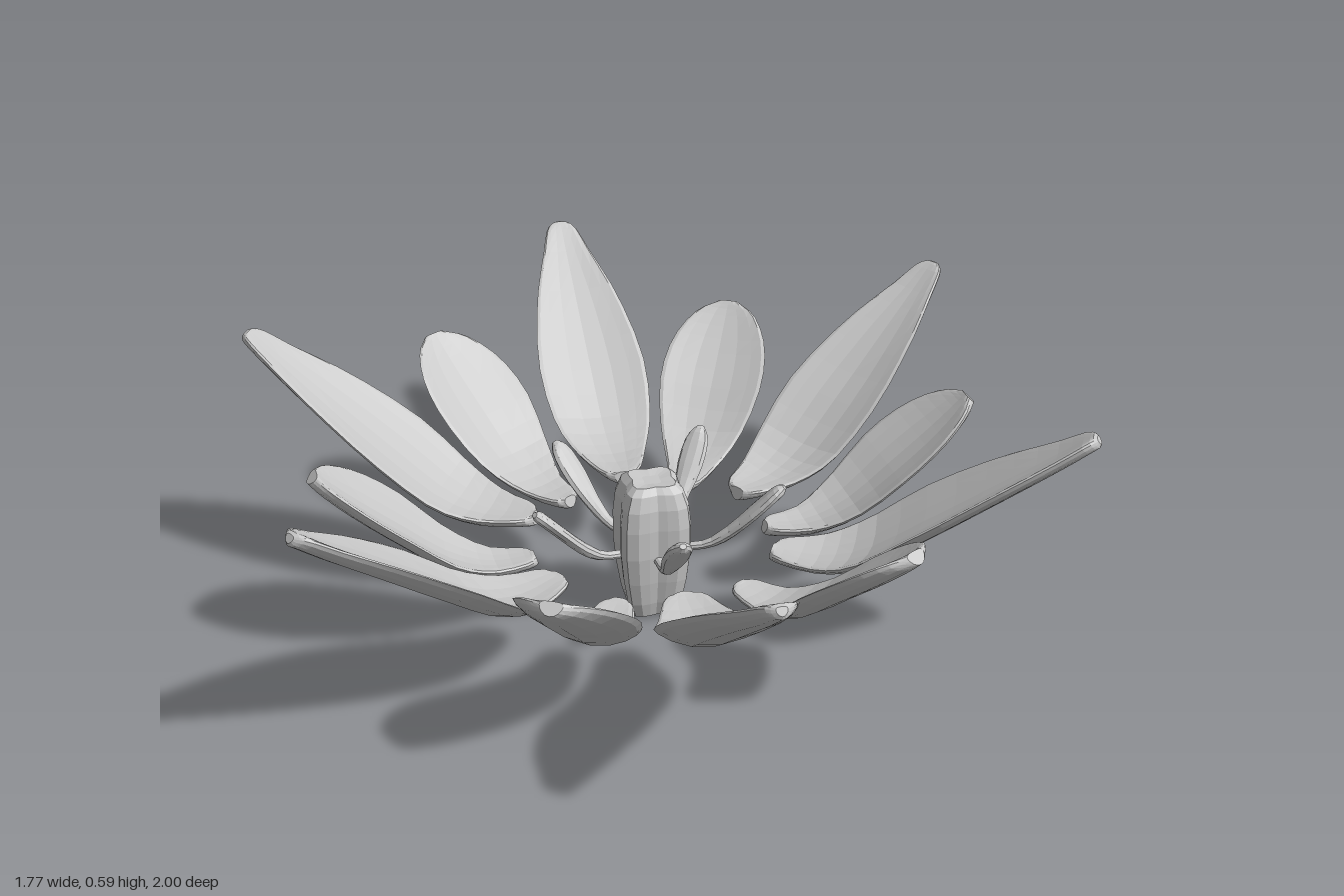
import * as THREE from 'three';

// Closed skin over a list of rings, capped at both ends
function loft(rings) {
  const m = rings[0].length, n = rings.length, pos = [], idx = [];
  rings.forEach(r => r.forEach(p => pos.push(p.x, p.y, p.z)));
  for (const r of [rings[0], rings[n - 1]]) {
    const c = r.reduce((s, p) => s.add(p), new THREE.Vector3()).divideScalar(m);
    pos.push(c.x, c.y, c.z);
  }
  for (let j = 0; j < m; j++) {
    const k = (j + 1) % m;
    for (let i = 0; i < n - 1; i++) {
      const a = i * m + j, b = i * m + k;
      idx.push(a, b, b + m, a, b + m, a + m);
    }
    idx.push(n * m, k, j, n * m + 1, (n - 1) * m + j, (n - 1) * m + k);
  }
  const g = new THREE.BufferGeometry();
  g.setAttribute('position', new THREE.Float32BufferAttribute(pos, 3));
  g.setIndex(idx);
  g.computeVertexNormals();
  return g;
}

// Leaf-shaped body along +z; stations are [radius, height, half width]
function blade(stations, steps, sides, thick, cup) {
  const curve = new THREE.CatmullRomCurve3(
    stations.map(([r, y, w]) => new THREE.Vector3(w, y, r)), false, 'centripetal');
  const rings = [];
  for (let i = 0; i <= steps; i++) {
    const p = curve.getPoint(i / steps), d = curve.getTangent(i / steps);
    const len = Math.hypot(d.y, d.z) || 1;
    const ny = d.z / len, nz = -d.y / len, t = Math.min(thick, p.x * 0.8);
    rings.push(Array.from({ length: sides }, (_, j) => {
      const a = j / sides * Math.PI * 2, u = Math.cos(a);
      const h = t * Math.sin(a) + cup * p.x * u * u;
      return new THREE.Vector3(p.x * u, p.y + ny * h, p.z + nz * h);
    }));
  }
  return loft(rings);
}

// Square pistil with softened corners and a shallow groove down each side
function pistilGeometry() {
  const profile = [[0.005, 0.04], [0.012, 0.055], [0.05, 0.066], [0.11, 0.076], [0.18, 0.083],
    [0.25, 0.083], [0.3, 0.078], [0.335, 0.066], [0.35, 0.05], [0.345, 0.02]];
  return loft(profile.map(([y, s]) => Array.from({ length: 24 }, (_, j) => {
    const a = j / 24 * Math.PI * 2, c = Math.cos(a), d = Math.sin(a);
    const r = s / Math.pow(c ** 6 + d ** 6, 1 / 6) * (1 - 0.1 * Math.cos(2 * a) ** 6);
    return new THREE.Vector3(c * r, y, -d * r);
  })));
}

export function createModel() {
  const group = new THREE.Group();
  const grey = new THREE.MeshStandardMaterial({ color: 0xc8c8c8, flatShading: true });
  grey.name = 'pale grey';

  // Repeats one part evenly around the vertical axis
  const ring = (name, geometry, count, start) => {
    for (let i = 0; i < count; i++) {
      const mesh = new THREE.Mesh(geometry, grey);
      mesh.name = name + (i + 1);
      mesh.rotation.y = start + i / count * Math.PI * 2;
      group.add(mesh);
    }
  };

  // Long pointed petals
  const longPetal = blade([[0.285, 0.2, 0.02], [0.3, 0.197, 0.045], [0.4, 0.193, 0.085],
    [0.5, 0.222, 0.118], [0.64, 0.32, 0.135], [0.8, 0.44, 0.105], [0.92, 0.53, 0.06],
    [0.98, 0.578, 0.034], [0.995, 0.588, 0.012]], 20, 16, 0.016, 0.3);
  ring('longPetal', longPetal, 6, 0.03);

  // Short rounded petals set between the long ones
  const shortPetal = blade([[0.275, 0.18, 0.018], [0.29, 0.175, 0.036], [0.38, 0.172, 0.062],
    [0.48, 0.21, 0.1], [0.6, 0.305, 0.13], [0.69, 0.38, 0.115], [0.75, 0.435, 0.07],
    [0.772, 0.458, 0.025]], 18, 16, 0.016, 0.28);
  ring('shortPetal', shortPetal, 6, 0.045 + Math.PI / 6);

  // Slender stamens with paddle ends
  const stamen = blade([[0.06, 0.17, 0.012], [0.13, 0.182, 0.013], [0.18, 0.215, 0.02],
    [0.24, 0.275, 0.032], [0.285, 0.322, 0.026], [0.305, 0.34, 0.008]], 12, 10, 0.014, 0);
  ring('stamen', stamen, 5, 0.01);

  // Central pistil
  const pistil = new THREE.Mesh(pistilGeometry(), grey);
  pistil.name = 'pistil';
  group.add(pistil);
  return group;
}
